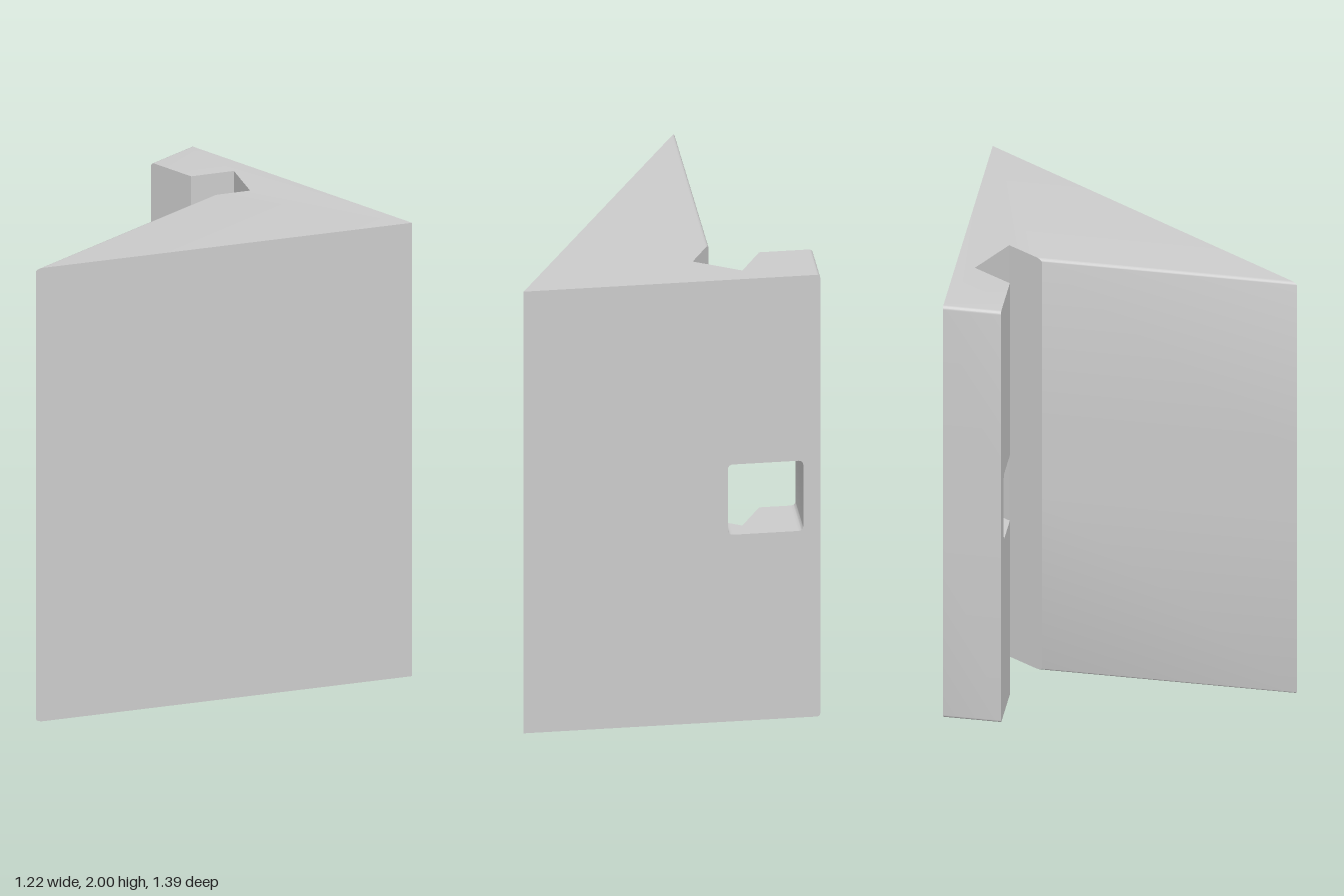
import * as THREE from 'three';
import { toCreasedNormals } from 'three/addons/utils/BufferGeometryUtils.js';

const HEIGHT = 2, FILLET = 0.015, STEPS = 6;
const BACK = -0.7, LIP = -0.46;
const SLOT = { left: -0.54, right: -0.23, bottom: 0.845, top: 1.163, radius: 0.02 };

// Height on the sloping floor of the notch, as z at a given x
const notchZ = (x) => -0.62 + (x + 0.3) * (0.11 / 0.19);

// Inner wedge outline from tip to notch; d pulls its left face in for the fillet
const wedgeSide = (d) => [
  [0.61, BACK], [-0.195 + d, 0.695 - 1.733 * d], [-0.195 + d, -0.36 - 1.765 * d], [-0.11, -0.51],
];
const fullProfile = (d) => [
  [-0.61 + d, BACK], ...wedgeSide(d), [-0.3, -0.62], [-0.39, LIP], [-0.61 + d, LIP],
];

// Outlines beside the slot; d narrows the slot at its rounded corners
const postProfile = (d) => [[-0.61, BACK], [SLOT.left + d, BACK], [SLOT.left + d, LIP], [-0.61, LIP]];
const wedgeProfile = (d) => {
  const x = SLOT.right - d;
  return [[x, BACK], ...wedgeSide(0), [x, notchZ(x)]];
};
const slotProfile = () => {
  const l = SLOT.left + SLOT.radius, r = SLOT.right - SLOT.radius;
  return [[l, BACK], [r, BACK], [r, notchZ(r)], [-0.3, -0.62], [-0.39, LIP], [l, LIP]];
};

// Quarter-round steps: inset d against distance h from the end
const quarterRound = (radius) => Array.from({ length: STEPS + 1 }, (_, i) => {
  const a = (i / STEPS) * Math.PI / 2;
  return { d: radius * (1 - Math.sin(a)), h: radius * (1 - Math.cos(a)) };
});

// Side walls through a stack of outlines, from low to high
function addWalls(out, layers, profile) {
  for (let k = 0; k + 1 < layers.length; k++) {
    const lo = profile(layers[k].d), hi = profile(layers[k + 1].d);
    const y0 = layers[k].y, y1 = layers[k + 1].y;
    lo.forEach((a, i) => {
      const j = (i + 1) % lo.length, b = lo[j], c = hi[j], e = hi[i];
      out.push(a[0], y0, a[1], e[0], y1, e[1], c[0], y1, c[1]);
      out.push(a[0], y0, a[1], c[0], y1, c[1], b[0], y0, b[1]);
    });
  }
}

// Flat cap at height y, facing up or down
function addCap(out, points, y, up) {
  const pts = points.map((p) => new THREE.Vector2(p[0], p[1]));
  for (const [i, j, k] of THREE.ShapeUtils.triangulateShape(pts, [])) {
    const tri = [pts[i], pts[j], pts[k]];
    const facesDown = THREE.ShapeUtils.area(tri) > 0;
    if (facesDown === up) tri.reverse();
    tri.forEach((p) => out.push(p.x, y, p.y));
  }
}

export function createModel() {
  const group = new THREE.Group();
  const material = new THREE.MeshStandardMaterial({ color: 0xcccccc });

  const addMesh = (name, build) => {
    const out = [];
    build(out);
    const geometry = new THREE.BufferGeometry();
    geometry.setAttribute('position', new THREE.Float32BufferAttribute(out, 3));
    const mesh = new THREE.Mesh(toCreasedNormals(geometry, Math.PI / 7), material);
    mesh.name = name;
    group.add(mesh);
  };

  // Solid block below the slot, with the slot floor
  const edge = quarterRound(FILLET);
  addMesh('lowerBlock', (out) => {
    const layers = [...edge.map(({ d, h }) => ({ d, y: h })), { d: 0, y: SLOT.bottom }];
    addWalls(out, layers, fullProfile);
    addCap(out, fullProfile(FILLET), 0, false);
    addCap(out, slotProfile(), SLOT.bottom, true);
  });

  // Solid block above the slot, with the slot ceiling
  addMesh('upperBlock', (out) => {
    const layers = [...edge.map(({ d, h }) => ({ d, y: HEIGHT - h })), { d: 0, y: SLOT.top }].reverse();
    addWalls(out, layers, fullProfile);
    addCap(out, fullProfile(FILLET), HEIGHT, true);
    addCap(out, slotProfile(), SLOT.top, false);
  });

  // Two pieces either side of the through slot
  const corner = quarterRound(SLOT.radius);
  const slotLayers = [
    ...corner.map(({ d, h }) => ({ d, y: SLOT.bottom + h })),
    ...corner.map(({ d, h }) => ({ d, y: SLOT.top - h })).reverse(),
  ];
  addMesh('slotPost', (out) => addWalls(out, slotLayers, postProfile));
  addMesh('middleWedge', (out) => addWalls(out, slotLayers, wedgeProfile));

  return group;
}
